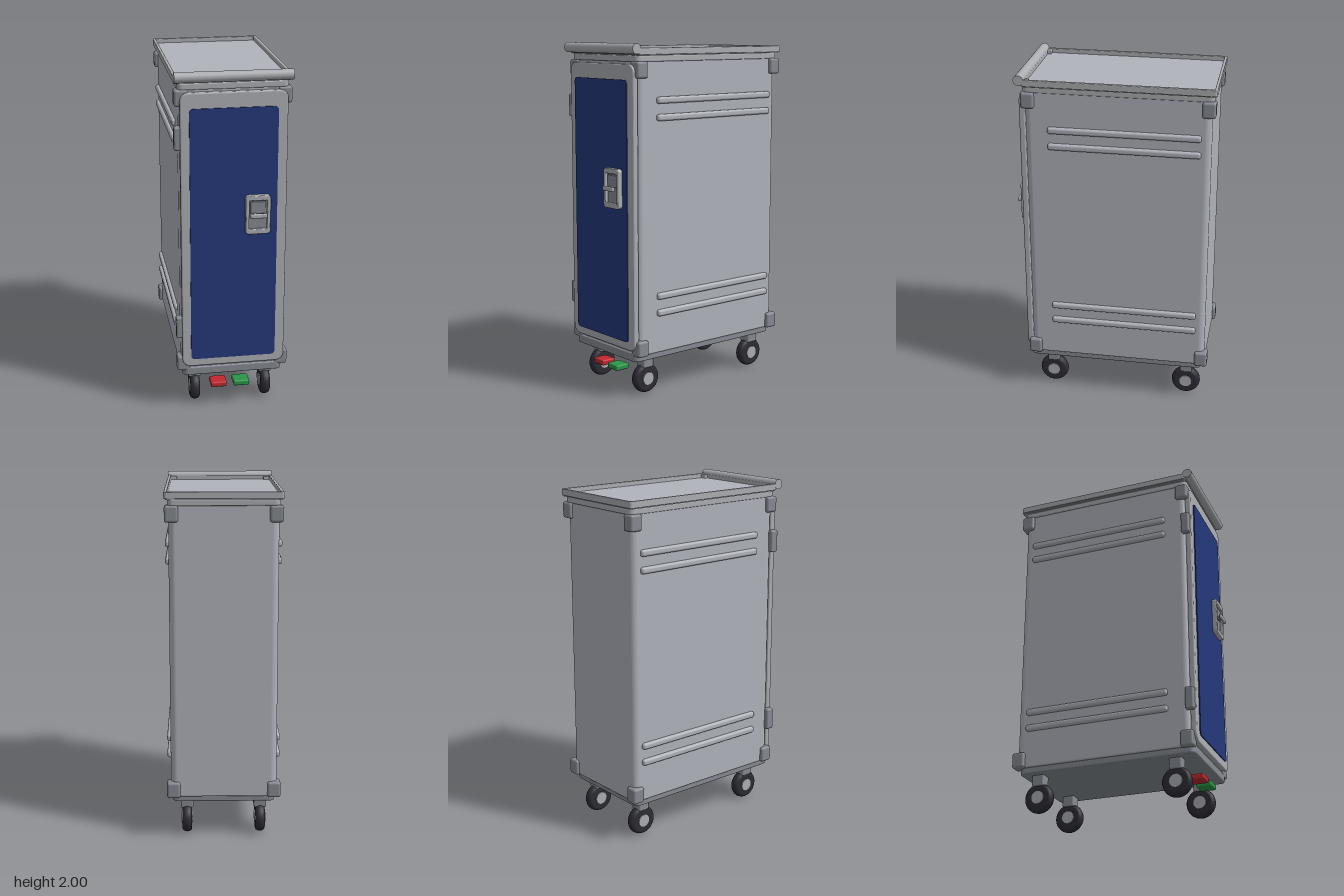
import * as THREE from 'three';
import { RoundedBoxGeometry } from 'three/addons/geometries/RoundedBoxGeometry.js';

const paint = (name, color) => {
  const m = new THREE.MeshStandardMaterial({ color });
  m.name = name;
  return m;
};

// Rounded rectangle between two corners, as a Shape or a hole Path
function roundRect(Type, x0, y0, x1, y1, r) {
  const p = new Type();
  p.moveTo(x0 + r, y0);
  p.lineTo(x1 - r, y0);
  p.absarc(x1 - r, y0 + r, r, -Math.PI / 2, 0);
  p.lineTo(x1, y1 - r);
  p.absarc(x1 - r, y1 - r, r, 0, Math.PI / 2);
  p.lineTo(x0 + r, y1);
  p.absarc(x0 + r, y1 - r, r, Math.PI / 2, Math.PI);
  p.lineTo(x0, y0 + r);
  p.absarc(x0 + r, y0 + r, r, Math.PI, Math.PI * 1.5);
  return p;
}

// Rounded plate with optional hole; the bevel stays inside the given outline
function plate(outer, hole, depth, bevel = 0) {
  const [x0, y0, x1, y1, r] = outer;
  const b = bevel;
  const shape = roundRect(THREE.Shape, x0 + b, y0 + b, x1 - b, y1 - b, r);
  if (hole) {
    const [a, c, d, e, hr] = hole;
    shape.holes.push(roundRect(THREE.Path, a - b, c - b, d + b, e + b, hr));
  }
  const g = new THREE.ExtrudeGeometry(shape, {
    depth: depth - 2 * b, bevelEnabled: b > 0, bevelSize: b, bevelThickness: b, bevelSegments: 3, curveSegments: 8,
  });
  return g.translate(0, 0, b);
}

// Horizontal slab: outline in x and z, standing from y0 up by height
const slab = (x, z0, z1, r, y0, height, bevel, hole) =>
  plate([-x, -z1, x, -z0, r], hole, height, bevel).rotateX(-Math.PI / 2).translate(0, y0, 0);

export function createModel() {
  const cart = new THREE.Group();
  cart.name = 'serviceCart';
  const body = paint('body grey', 0xb0b3bb);
  const trim = paint('trim grey', 0x868b92);
  const frameGrey = paint('frame grey', 0xacaeb2);
  const blue = paint('door blue', 0x24387a);
  const rubber = paint('tyre black', 0x2c2c34);
  const red = paint('pedal red', 0xc0282f);
  const green = paint('pedal green', 0x2a9648);

  const add = (name, geometry, material, x = 0, y = 0, z = 0, parent = cart) => {
    const m = new THREE.Mesh(geometry, material);
    m.name = name;
    m.position.set(x, y, z);
    parent.add(m);
    return m;
  };
  const box = (w, h, d, r) => new RoundedBoxGeometry(w, h, d, 3, r);

  // Cabinet, plinth and top deck
  add('cabinet', slab(0.3, -0.555, 0.49, 0.03, 0.25, 1.66, 0.008), body);
  add('plinth', slab(0.29, -0.54, 0.505, 0.025, 0.215, 0.05, 0.008), trim);
  add('topDeck', slab(0.305, -0.567, 0.5, 0.025, 1.9, 0.035, 0.006), frameGrey);

  // Tray with raised rim, and the push bar along the front
  add('trayFloor', slab(0.315, -0.572, 0.49, 0.015, 1.933, 0.017), body);
  add('trayRim', slab(0.323, -0.58, 0.5, 0.012, 1.938, 0.038, 0.004,
    [-0.305, -0.482, 0.305, 0.563, 0.008]), frameGrey);
  add('pushBar', new THREE.CylinderGeometry(0.029, 0.029, 0.646, 28).rotateZ(Math.PI / 2), frameGrey, 0, 1.971, 0.512);

  // Corner bumpers and bar brackets
  for (const s of [-1, 1]) {
    add('barBracket', box(0.05, 0.03, 0.03, 0.006), frameGrey, s * 0.293, 1.955, 0.475);
    for (const y of [0.293, 1.857])
      for (const z of [0.468, -0.537])
        add('cornerBumper', box(0.075, 0.092, 0.075, 0.014), trim, s * 0.284, y, z);
  }

  // Raised side runners
  for (const s of [-1, 1])
    for (const y of [0.483, 0.58, 1.592, 1.688])
      add('sideRunner', box(0.036, 0.038, 0.86, 0.014), body, s * 0.302, y, -0.07);

  // Door: frame, blue panel and hinges
  add('doorFrame', plate([-0.293, 0.28, 0.297, 1.888, 0.04], null, 0.035, 0.008), frameGrey, 0, 0, 0.485);
  add('doorPanel', plate([-0.243, 0.327, 0.243, 1.802, 0.022], null, 0.009), blue, 0, 0, 0.517);
  for (const y of [0.523, 1.637])
    add('hinge', box(0.04, 0.13, 0.05, 0.01), trim, -0.305, y, 0.49);

  // Latch: surround, recessed plate, turn knob
  const latch = new THREE.Group();
  latch.name = 'latch';
  latch.position.set(0.132, 1.197, 0.522);
  cart.add(latch);
  add('latchSurround', plate([-0.07, -0.112, 0.07, 0.112, 0.014],
    [-0.05, -0.083, 0.05, 0.083, 0.008], 0.032, 0.005), frameGrey, 0, 0, 0, latch);
  add('latchPlate', new THREE.BoxGeometry(0.11, 0.176, 0.014), trim, 0, 0, 0.008, latch);
  add('latchLever', box(0.085, 0.07, 0.014, 0.004), trim, 0, 0.04, 0.016, latch);
  add('latchStem', new THREE.CylinderGeometry(0.012, 0.012, 0.04, 16).rotateX(Math.PI / 2), trim, -0.02, 0, 0.03, latch);
  add('latchKnob', box(0.095, 0.026, 0.018, 0.007), frameGrey, 0, 0, 0.047, latch);

  // Castors: rounded tyre, pale hub, mounting block
  const tyreProfile = [[0.03, -0.026], [0.066, -0.028], [0.078, -0.023], [0.084, -0.012], [0.086, 0],
    [0.084, 0.012], [0.078, 0.023], [0.066, 0.028], [0.03, 0.026]].map(([r, h]) => new THREE.Vector2(r, h));
  const tyre = new THREE.LatheGeometry(tyreProfile, 36).rotateZ(Math.PI / 2);
  const hub = new THREE.CylinderGeometry(0.037, 0.037, 0.064, 28).rotateZ(Math.PI / 2);
  for (const x of [-0.21, 0.21])
    for (const z of [0.376, -0.444]) {
      const castor = new THREE.Group();
      castor.name = 'castor';
      castor.position.set(x, 0.086, z);
      cart.add(castor);
      add('tyre', tyre, rubber, 0, 0, 0, castor);
      add('hub', hub, frameGrey, 0, 0, 0, castor);
      add('mount', box(0.072, 0.07, 0.072, 0.008), trim, 0, 0.102, 0, castor);
    }

  // Brake pedals
  add('brakePedal', box(0.093, 0.033, 0.09, 0.009), red, -0.078, 0.136, 0.455);
  add('releasePedal', box(0.093, 0.033, 0.09, 0.009), green, 0.056, 0.136, 0.455);

  return cart;
}
